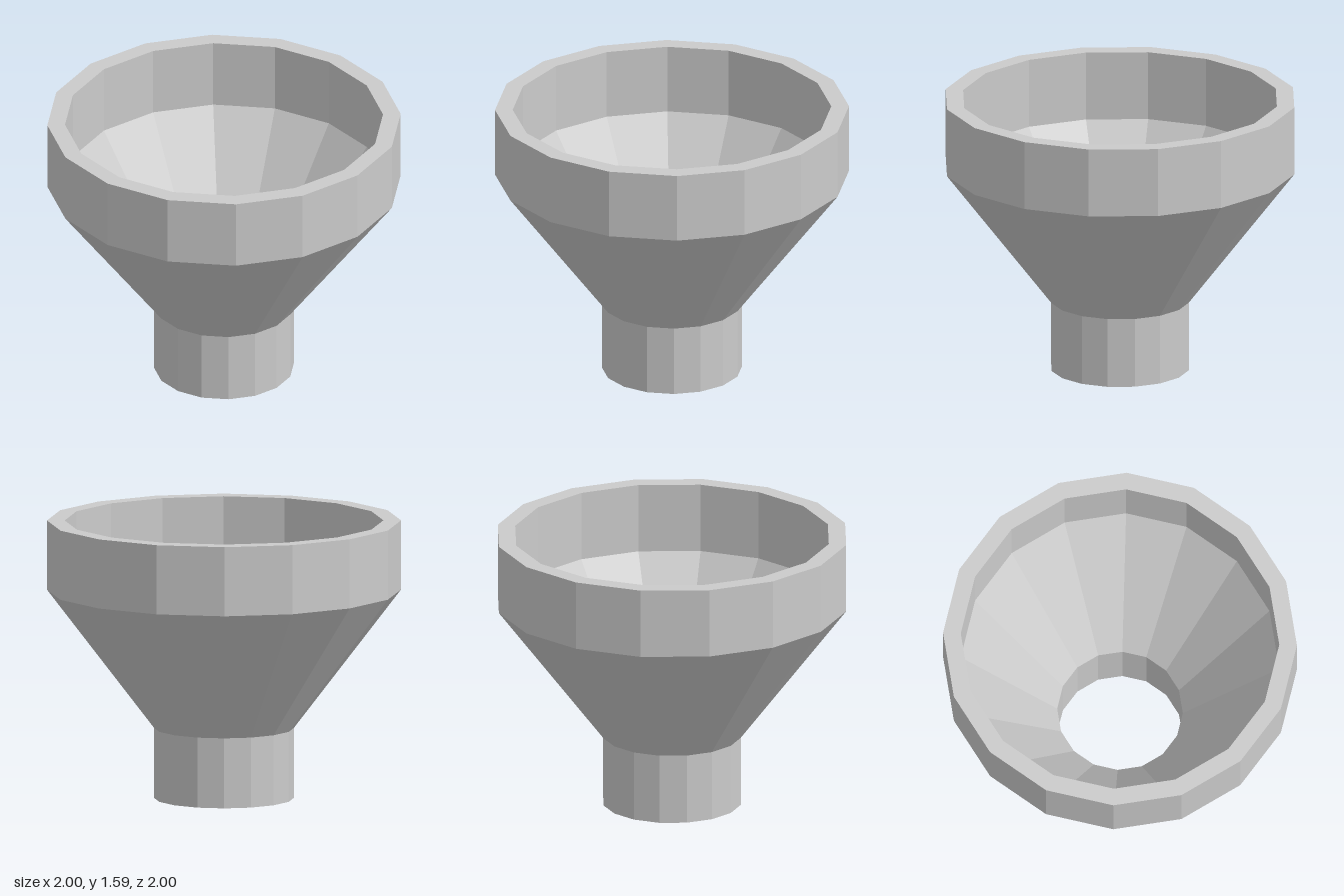
import * as THREE from 'three';

const SIDES = 16;
const material = new THREE.MeshStandardMaterial({ color: 0xcccccc, flatShading: true });

// Faceted ring swept from a [radius, height] profile; rising profiles face outward
function ring(name, profile) {
  const points = profile.map(([r, y]) => new THREE.Vector2(r, y));
  const geometry = new THREE.LatheGeometry(points, SIDES).toNonIndexed();
  geometry.computeVertexNormals();
  const mesh = new THREE.Mesh(geometry, material);
  mesh.name = name;
  return mesh;
}

export function createModel() {
  const group = new THREE.Group();
  group.name = 'funnel';

  // Heights of the joints, then outer and inner radii
  const neckY = 0.4, collarY = 1.19, topY = 1.585;
  const neckOut = 0.395, neckIn = 0.355, rimOut = 1, rimIn = 0.9;

  group.add(
    // Straight tube with its open bottom edge
    ring('spout', [[neckIn, neckY], [neckIn, 0], [neckOut, 0], [neckOut, neckY]]),
    // Sloping wall, outside and inside
    ring('coneOuter', [[neckOut, neckY], [rimOut, collarY]]),
    ring('coneInner', [[rimIn, collarY], [neckIn, neckY]]),
    // Upright band with the flat top rim
    ring('collar', [[rimOut, collarY], [rimOut, topY], [rimIn, topY], [rimIn, collarY]]),
  );
  return group;
}
